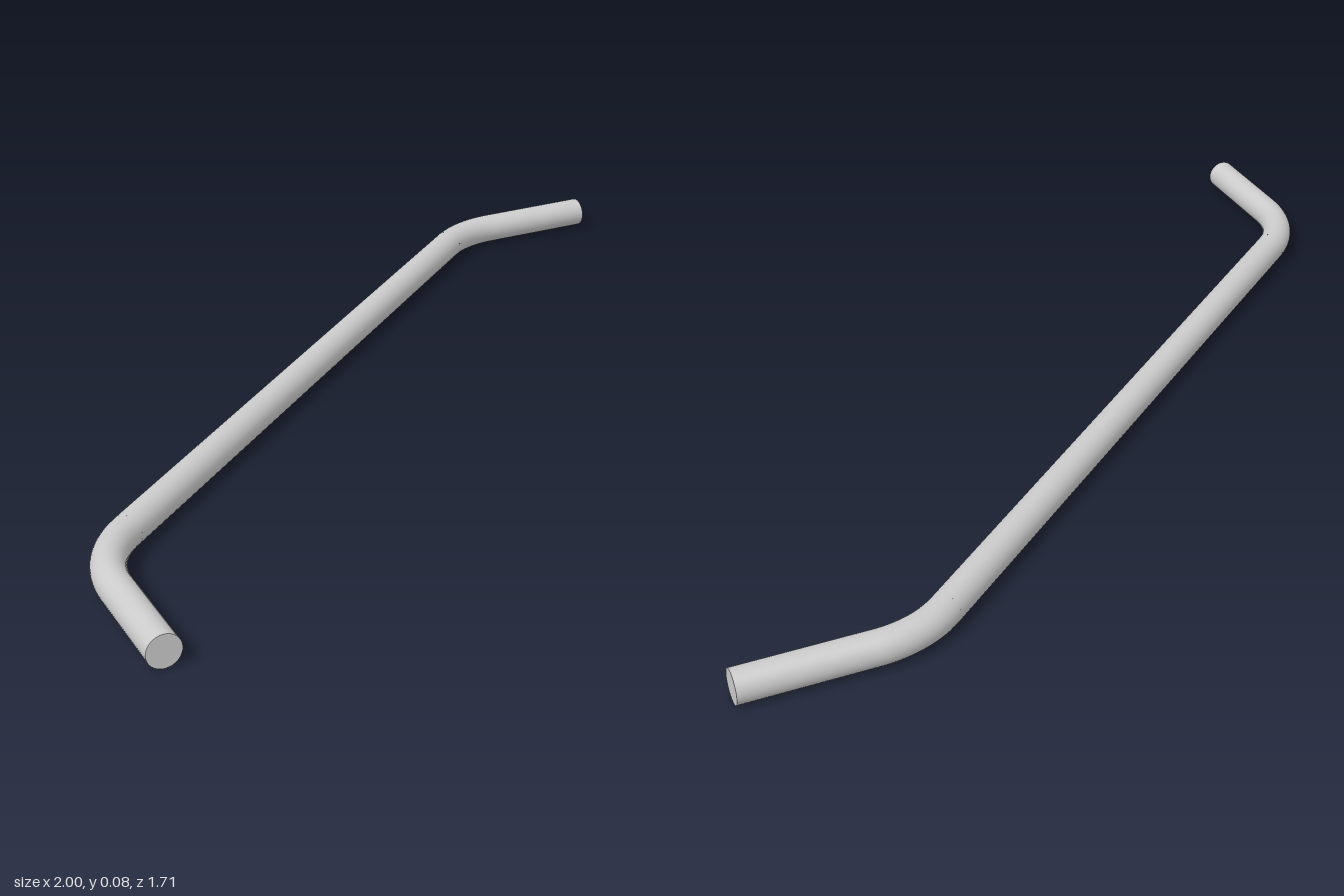
import * as THREE from 'three';

const RADIUS = 0.038; // rod radius
const BEND = 0.27;    // centreline radius of both bends
const SIDES = 32;

export function createModel() {
  const group = new THREE.Group();
  group.name = 'bentRod';
  const material = new THREE.MeshStandardMaterial({ color: 0xcccccc });

  const add = (name, geometry) => {
    const mesh = new THREE.Mesh(geometry, material);
    mesh.name = name;
    group.add(mesh);
    return mesh;
  };

  // Straight length between two points of the (x, z) plane
  const straight = (name, a, b) => {
    const dir = b.clone().sub(a);
    const mesh = add(name, new THREE.CylinderGeometry(RADIUS, RADIUS, dir.length(), SIDES));
    mesh.position.set((a.x + b.x) / 2, RADIUS, (a.y + b.y) / 2);
    mesh.quaternion.setFromUnitVectors(
      new THREE.Vector3(0, 1, 0), new THREE.Vector3(dir.x, 0, dir.y).normalize());
  };

  // Circular bend, angles measured from +x towards +z
  const bend = (name, x, z, start, arc) => {
    const geometry = new THREE.TorusGeometry(BEND, RADIUS, SIDES, 24, arc);
    geometry.rotateZ(start).rotateX(Math.PI / 2);
    add(name, geometry).position.set(x, RADIUS, z);
  };

  // Corners of the centreline before rounding
  const frontCorner = new THREE.Vector2(-1 + RADIUS, 0.468);
  const backCorner = new THREE.Vector2(0.606, -0.853 + RADIUS);
  const along = backCorner.clone().sub(frontCorner).normalize();
  const slope = Math.atan2(-along.y, along.x);
  const frontTurn = Math.PI / 2 - slope;
  const frontCut = BEND * Math.tan(frontTurn / 2);
  const backCut = BEND * Math.tan(slope / 2);

  straight('frontEnd', new THREE.Vector2(frontCorner.x, 0.853),
    new THREE.Vector2(frontCorner.x, frontCorner.y + frontCut));
  bend('frontBend', frontCorner.x + BEND, frontCorner.y + frontCut, Math.PI, frontTurn);
  straight('diagonal', frontCorner.clone().addScaledVector(along, frontCut),
    backCorner.clone().addScaledVector(along, -backCut));
  bend('backBend', backCorner.x + backCut, backCorner.y + BEND, Math.PI * 1.5 - slope, slope);
  straight('backEnd', new THREE.Vector2(backCorner.x + backCut, backCorner.y),
    new THREE.Vector2(1, backCorner.y));

  return group;
}
